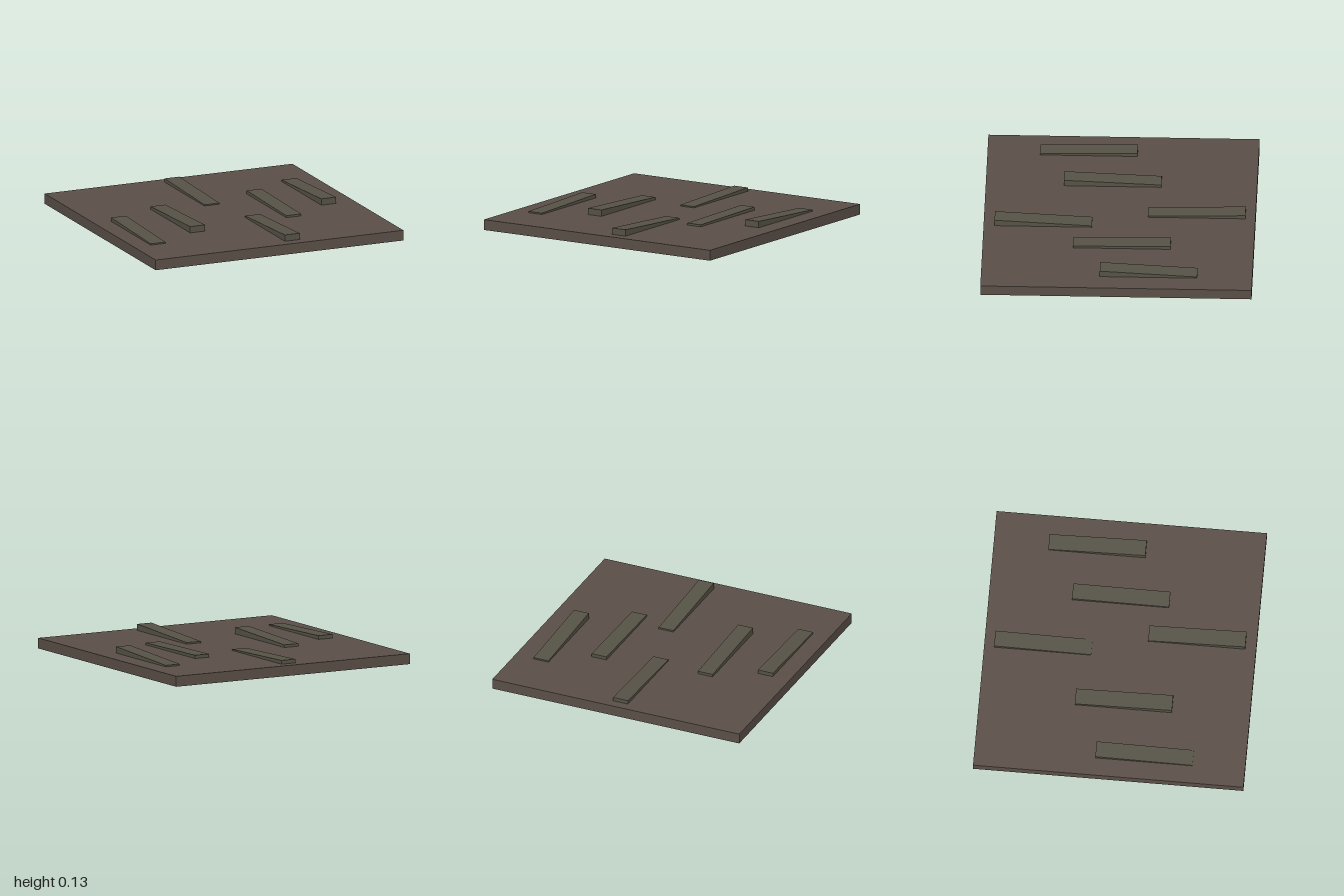
import * as THREE from 'three';

const SLAB_TOP = 0.078;

// Box whose top slopes from the back height to the front height, bottom just inside the slab
function wedge(width, length, frontY, backY) {
  const geometry = new THREE.BoxGeometry(width, 1, length);
  const p = geometry.attributes.position;
  for (let i = 0; i < p.count; i++) {
    const top = p.getZ(i) > 0 ? frontY : backY;
    p.setY(i, p.getY(i) > 0 ? top : SLAB_TOP - 0.01);
  }
  geometry.computeVertexNormals();
  return geometry;
}

export function createModel() {
  const group = new THREE.Group();
  const slabMaterial = new THREE.MeshStandardMaterial({ name: 'brown stone', color: 0x5a4f47 });
  const rampMaterial = new THREE.MeshStandardMaterial({ name: 'olive stone', color: 0x565246 });

  // Square floor slab
  const slab = new THREE.Mesh(new THREE.BoxGeometry(2, SLAB_TOP, 2), slabMaterial);
  slab.name = 'floorSlab';
  slab.position.y = SLAB_TOP / 2;
  group.add(slab);

  // Shallow ramps: x, z, front height, back height
  const ramps = [
    [-0.805, 0.252, 0.088, 0.106],
    [-0.403, 0.065, 0.126, 0.098],
    [-0.005, -0.567, 0.087, 0.106],
    [0.14, 0.56, 0.126, 0.09],
    [0.415, -0.027, 0.093, 0.103],
    [0.79, -0.235, 0.126, 0.089],
  ];
  ramps.forEach(([x, z, frontY, backY], i) => {
    const ramp = new THREE.Mesh(wedge(0.12, 0.718, frontY, backY), rampMaterial);
    ramp.name = `ramp${i + 1}`;
    ramp.position.set(x, 0, z);
    group.add(ramp);
  });

  return group;
}
